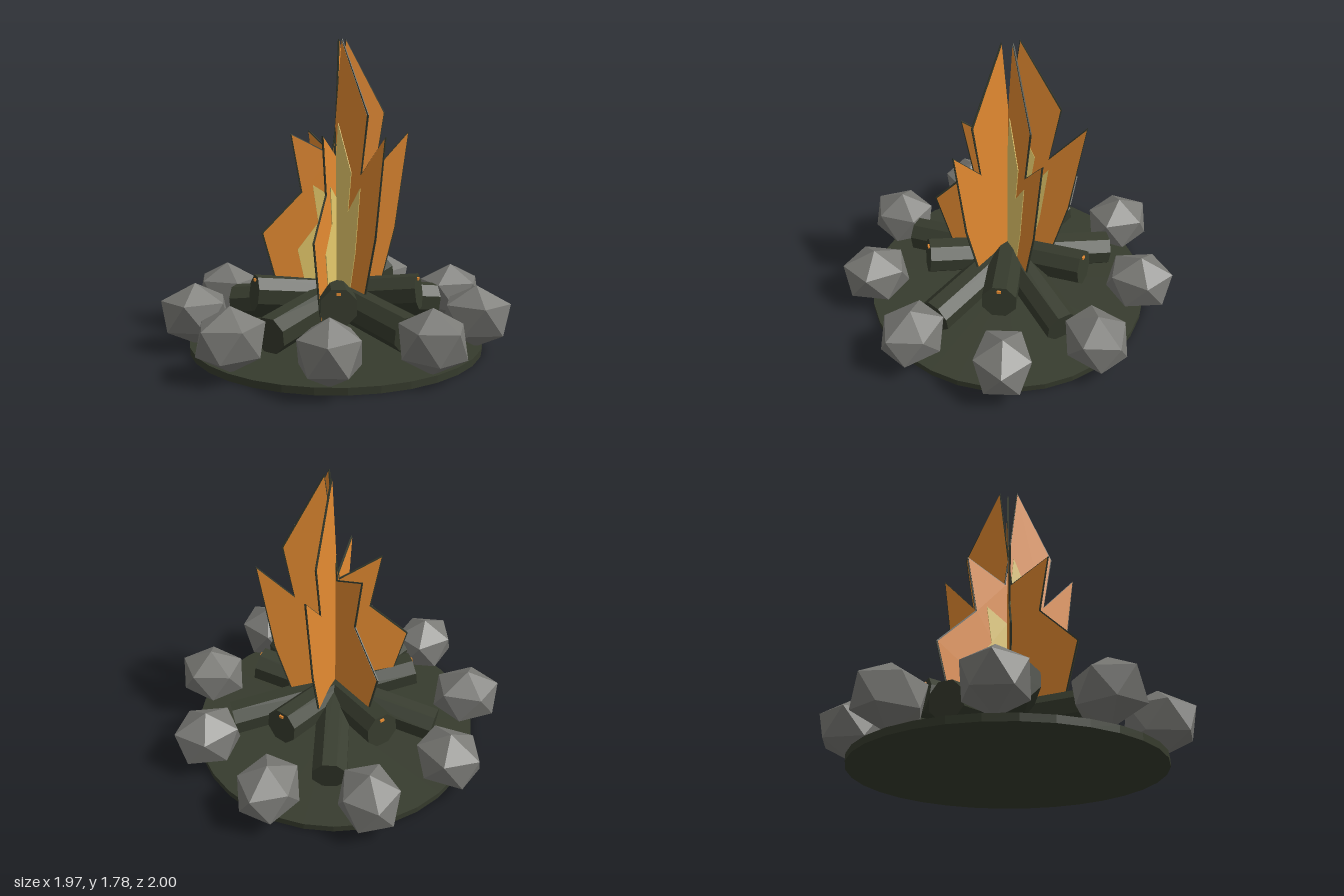
import * as THREE from 'three';

const mat = (name, color, extra = {}) => {
  const m = new THREE.MeshStandardMaterial({ color, ...extra });
  m.name = name;
  return m;
};

export function createModel() {
  const charred = mat('charred wood', 0x363b2d, { flatShading: true });
  const stone = mat('stone grey', 0x7a7a76, { flatShading: true });
  const orange = mat('flame orange', 0xe58b31);
  const yellow = mat('flame yellow', 0xe6ca6b);

  const model = new THREE.Group();
  model.name = 'campfire';
  const fire = new THREE.Group();
  fire.name = 'firePit';
  fire.position.x = -0.03;
  model.add(fire);

  const add = (parent, name, geometry, material, x = 0, y = 0, z = 0) => {
    const mesh = new THREE.Mesh(geometry, material);
    mesh.name = name;
    mesh.position.set(x, y, z);
    parent.add(mesh);
    return mesh;
  };
  const spoke = (name, angle) => {
    const g = new THREE.Group();
    g.name = name;
    g.rotation.y = angle;
    fire.add(g);
    return g;
  };

  // Ash disc
  add(fire, 'ashDisc', new THREE.CylinderGeometry(0.86, 0.86, 0.04, 32), charred, 0, 0.02);

  // Ring of nine stones, vertex up and stretched outwards
  const rock = new THREE.IcosahedronGeometry(0.19, 0);
  rock.rotateZ(-Math.atan(2 / (1 + Math.sqrt(5))));
  rock.scale(1.15, 0.95, 1);
  for (let i = 0; i < 9; i++) {
    add(spoke('stone', (i * Math.PI * 2) / 9), 'stoneBody', rock, stone, 0.82, 0.21);
  }

  // Five crossed logs, each with its inner end raised and a glowing speck
  const logGeo = new THREE.CylinderGeometry(0.106, 0.106, 1.14, 8);
  logGeo.rotateY(Math.PI / 8);
  logGeo.rotateZ(Math.PI / 2);
  const emberGeo = new THREE.BoxGeometry(0.03, 0.015, 0.025);
  for (let i = 0; i < 5; i++) {
    const log = add(spoke('log', (i * Math.PI * 2) / 5), 'logBody', logGeo, charred, 0.07, 0.275);
    log.rotation.z = -0.125;
    add(log, 'ember', emberGeo, orange, -0.565, 0.075);
  }

  // Flame outline; the inner flame is a squeezed copy
  const outline = [
    [-0.30, 0.2], [-0.43, 0.68], [-0.2, 0.91], [-0.26, 1.24], [-0.02, 1.115], [0.06, 1.77],
    [0.285, 1.36], [0.23, 1.02], [0.435, 1.24], [0.355, 0.68], [0.23, 0.2],
  ];
  const flameShape = (sx = 1, sy = 1, dy = 0) =>
    new THREE.Shape(outline.map(([x, y]) => new THREE.Vector2(x * sx, y * sy + dy)));
  const plate = (shape, depth, bevel) => {
    const g = new THREE.ExtrudeGeometry(shape, {
      depth, bevelEnabled: bevel > 0, bevelSize: bevel, bevelThickness: 0.001, bevelSegments: 1,
    });
    g.translate(0, 0, -depth / 2);
    return g;
  };
  const rimGeo = plate(flameShape(), 0.006, 0.008);
  const outerGeo = plate(flameShape(), 0.012, 0);
  const innerGeo = plate(flameShape(0.535, 0.67, 0.12), 0.004, 0);

  // Three crossing flame plates, yellow on one face only
  for (const degrees of [0, 66, 126]) {
    const flame = spoke('flame', THREE.MathUtils.degToRad(degrees));
    add(flame, 'flameRim', rimGeo, charred);
    add(flame, 'outerFlame', outerGeo, [orange, charred]);
    add(flame, 'innerFlame', innerGeo, yellow, 0, 0, 0.008);
  }

  return model;
}
